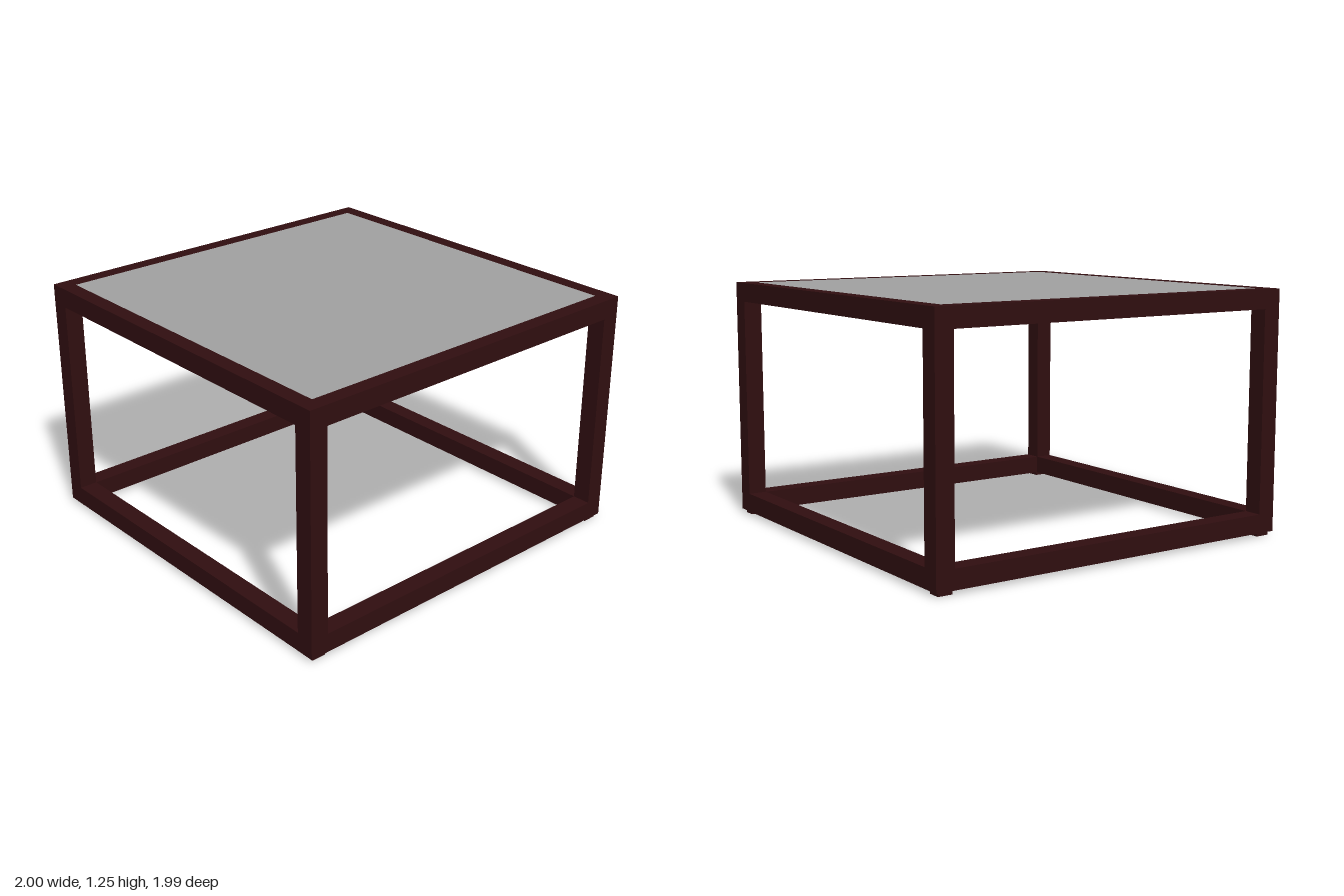
import * as THREE from 'three';

const W = 2, D = 1.99, BAR = 0.095, TOP = 1.245, LIP = 0.08;

// Rectangular outline centred on the origin
function rectangle(target, w, d) {
  target.moveTo(-w / 2, -d / 2);
  target.lineTo(w / 2, -d / 2);
  target.lineTo(w / 2, d / 2);
  target.lineTo(-w / 2, d / 2);
  target.closePath();
  return target;
}

// Flat rectangular frame of bars, lying between two heights
function frameGeometry(border, y0, y1) {
  const shape = rectangle(new THREE.Shape(), W, D);
  shape.holes.push(rectangle(new THREE.Path(), W - 2 * border, D - 2 * border));
  const geometry = new THREE.ExtrudeGeometry(shape, { depth: y1 - y0, bevelEnabled: false });
  geometry.rotateX(-Math.PI / 2);
  geometry.translate(0, y0, 0);
  return geometry;
}

export function createModel() {
  const table = new THREE.Group();
  table.name = 'coffeeTable';

  const wood = new THREE.MeshStandardMaterial({ color: 0x300e10 });
  wood.name = 'darkMahogany';
  const glass = new THREE.MeshStandardMaterial({ color: 0xa0a0a0 });
  glass.name = 'greyPanel';

  const add = (name, geometry, material, x = 0, y = 0, z = 0) => {
    const mesh = new THREE.Mesh(geometry, material);
    mesh.name = name;
    mesh.position.set(x, y, z);
    table.add(mesh);
  };

  // Lower rails, upper rails and the narrower rim that holds the panel
  const lowTop = 0.117, railBottom = 1.147, seat = TOP - 0.018;
  add('lowerFrame', frameGeometry(BAR, 0.02, lowTop), wood);
  add('upperFrame', frameGeometry(BAR, railBottom, seat), wood);
  add('topRim', frameGeometry(LIP, seat, TOP), wood);

  // Inset table top
  add('topPanel', new THREE.BoxGeometry(W - 2 * LIP, 0.018, D - 2 * LIP), glass, 0, TOP - 0.009, 0);

  // Corner posts and small feet
  const post = new THREE.BoxGeometry(BAR, railBottom - lowTop, BAR);
  const foot = new THREE.BoxGeometry(0.075, 0.02, 0.065);
  for (const sx of [-1, 1]) {
    for (const sz of [-1, 1]) {
      const name = (sz > 0 ? 'front' : 'back') + (sx > 0 ? 'Left' : 'Right');
      add(name + 'Post', post, wood, sx * (W - BAR) / 2, (lowTop + railBottom) / 2, sz * (D - BAR) / 2);
      add(name + 'Foot', foot, wood, sx * 0.945, 0.01, sz * 0.947);
    }
  }
  return table;
}
